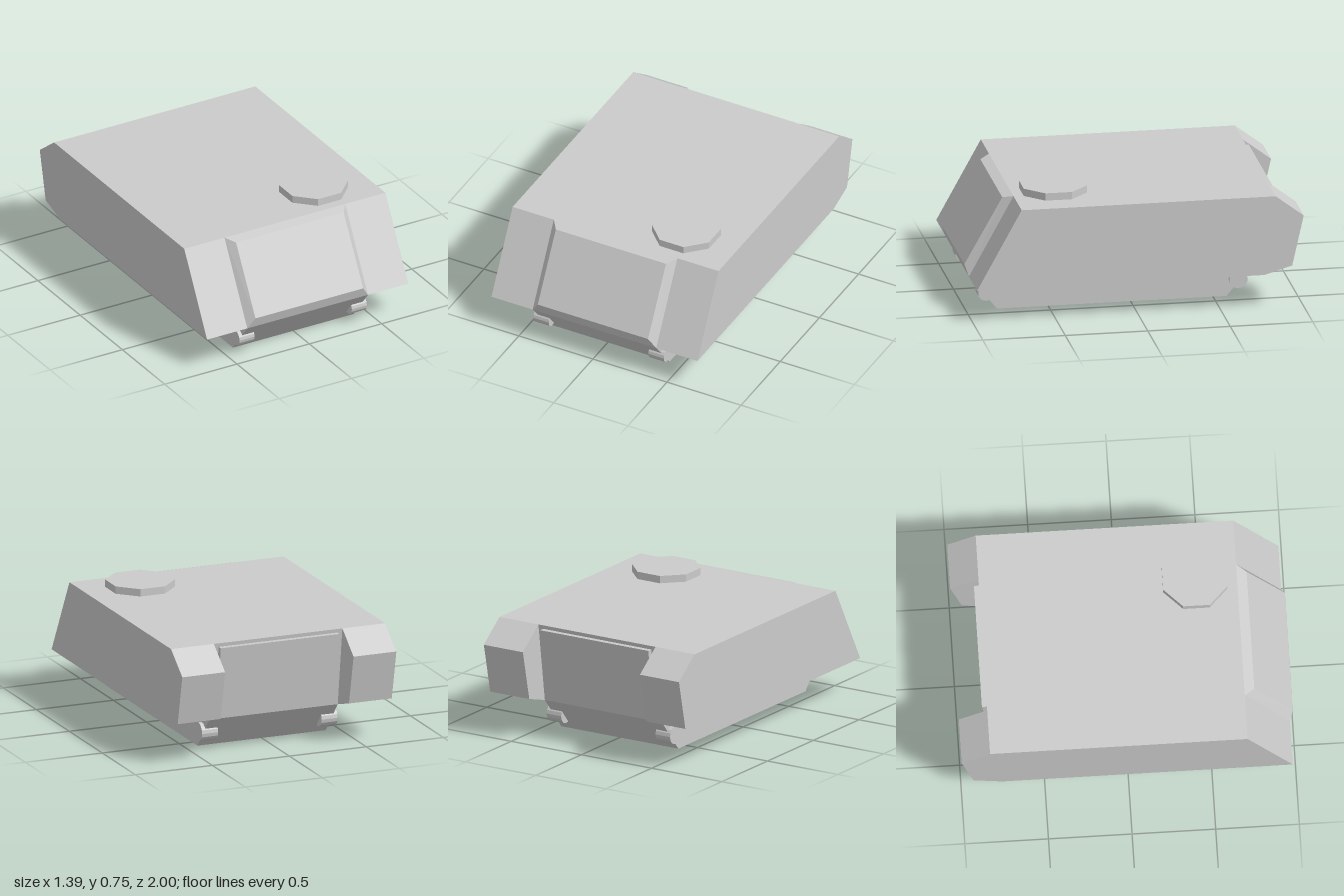
import * as THREE from 'three';

const material = new THREE.MeshStandardMaterial({ color: 0xcccccc, flatShading: true });

function add(group, name, geometry) {
  const mesh = new THREE.Mesh(geometry, material);
  mesh.name = name;
  group.add(mesh);
  return mesh;
}

// Extrude a side profile of [z, y] points from x0 to x1
function sideExtrude(profile, x0, x1) {
  const shape = new THREE.Shape(profile.map(([z, y]) => new THREE.Vector2(-z, y)));
  return new THREE.ExtrudeGeometry(shape, { depth: x1 - x0, bevelEnabled: false })
    .rotateY(Math.PI / 2)
    .translate(x0, 0, 0);
}

// Raised plate lofted from a large base rectangle to a smaller face
function raisedPlate(base, face) {
  const corners = ({ x, low, high }) => [
    [-x, low[1], low[0]], [x, low[1], low[0]], [x, high[1], high[0]], [-x, high[1], high[0]],
  ];
  const b = corners(base), f = corners(face), positions = [];
  const quad = (p, q, r, s) => positions.push(...p, ...q, ...r, ...p, ...r, ...s);
  quad(...f);
  for (let i = 0; i < 4; i++) {
    const j = (i + 1) % 4;
    quad(b[i], b[j], f[j], f[i]);
  }
  const geometry = new THREE.BufferGeometry();
  geometry.setAttribute('position', new THREE.Float32BufferAttribute(positions, 3));
  geometry.computeVertexNormals();
  return geometry;
}

export function createModel() {
  const model = new THREE.Group();
  model.name = 'armouredHull';

  const inner = 0.417, outer = 0.695;

  // Central hull with the narrow belly below
  add(model, 'centralHull', sideExtrude([
    [0.98, 0.21], [0.71, 0.7], [-0.83, 0.7], [-0.76, 0.21], [-0.58, 0], [0.81, 0],
  ], -inner, inner));

  // Side sponsons, reaching further back than the hull
  const sponson = [
    [0.98, 0.21], [0.71, 0.7], [-0.83, 0.7], [-1, 0.57], [-0.93, 0.26], [-0.76, 0.21],
  ];
  add(model, 'leftSponson', sideExtrude(sponson, inner, outer));
  add(model, 'rightSponson', sideExtrude(sponson, -outer, -inner));

  // Bevelled plate on the sloping front
  add(model, 'frontPlate', raisedPlate(
    { x: inner, low: [0.98, 0.21], high: [0.71, 0.7] },
    { x: 0.372, low: [1, 0.275], high: [0.77, 0.682] },
  ));

  // Rear door lying on the slanted back wall
  const wallZ = (y) => -0.76 - (y - 0.21) / 7;
  const low = 0.245, high = 0.677, thick = 0.033;
  add(model, 'rearDoor', sideExtrude([
    [wallZ(low) + 0.01, low], [wallZ(low) - thick, low],
    [wallZ(high) - thick, high], [wallZ(high) + 0.01, high],
  ], -0.385, 0.385));

  // Octagonal roof hatch
  add(model, 'roofHatch', new THREE.CylinderGeometry(0.208, 0.208, 0.047, 8, 1, false, Math.PI / 8))
    .position.set(0.345, 0.722, 0.457);

  // Axle stubs for the drive sprockets and idlers
  for (const side of [1, -1]) {
    const prefix = side > 0 ? 'left' : 'right';
    for (const [name, z, radius] of [['FrontAxle', 0.88, 0.048], ['RearAxle', -0.65, 0.056]]) {
      add(model, prefix + name,
        new THREE.CylinderGeometry(radius, radius, 0.104, 16).rotateZ(Math.PI / 2))
        .position.set(side * 0.388, 0.108, z);
    }
  }

  return model;
}
